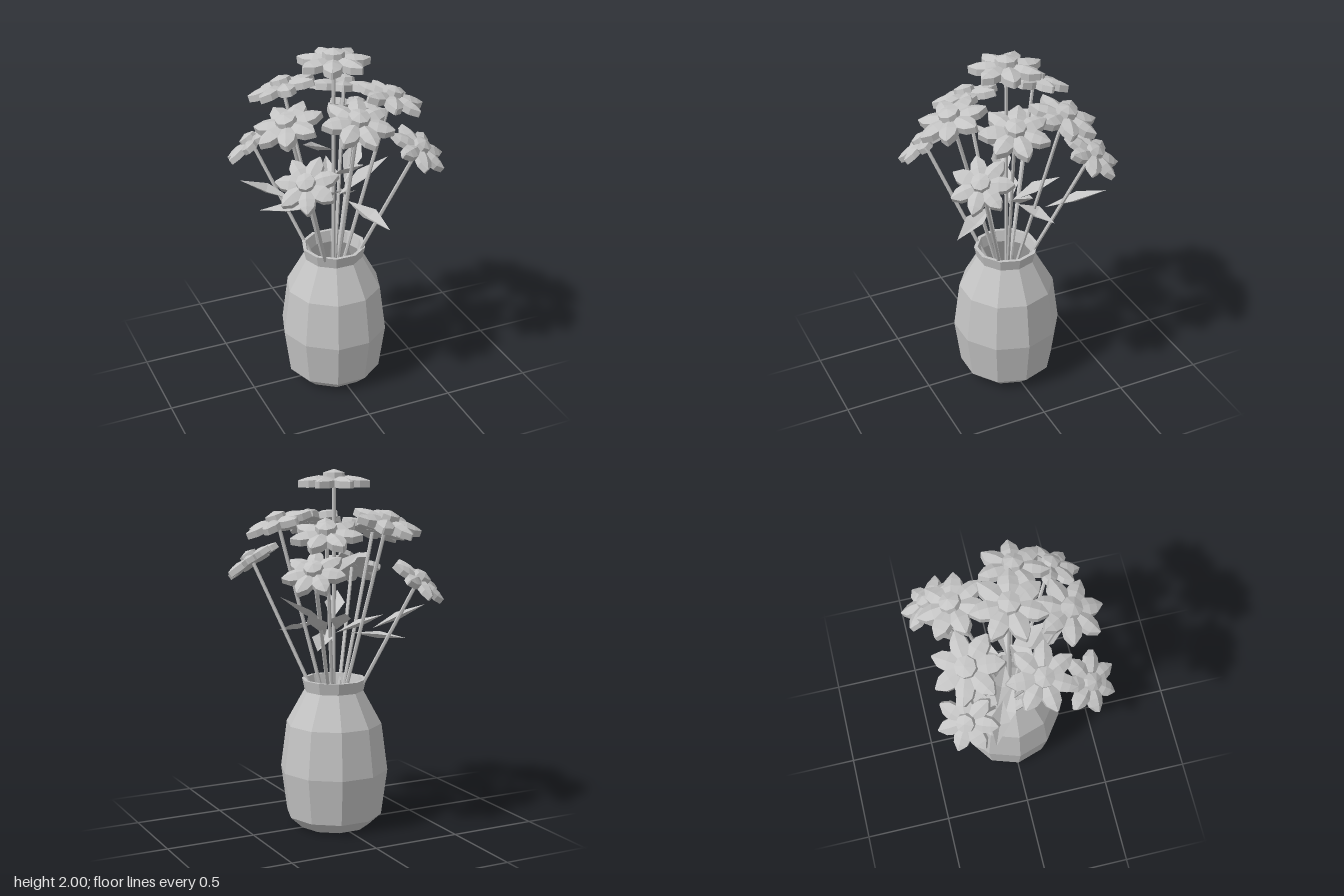
import * as THREE from 'three';

const grey = new THREE.MeshStandardMaterial({ color: 0xc4c4c4, flatShading: true, side: THREE.DoubleSide });
grey.name = 'light grey';
const UP = new THREE.Vector3(0, 1, 0);
const V = (x, y, z) => new THREE.Vector3(x, y, z);

function part(name, geometry, parent) {
  const mesh = new THREE.Mesh(geometry, grey);
  mesh.name = name;
  parent.add(mesh);
  return mesh;
}

// Ridged petal pointing along +x, skinned through five-point cross-sections
function petalGeometry() {
  // radius, half width, bottom, side top, ridge top
  const rows = [
    [0.03, 0.022, 0.008, 0.042, 0.052],
    [0.105, 0.051, 0, 0.038, 0.058],
    [0.152, 0.043, -0.004, 0.034, 0.05],
    [0.198, 0.005, -0.004, 0.032, 0.035],
  ];
  const pos = [], index = [];
  for (const [r, w, b, s, t] of rows)
    pos.push(r, b, w, r, b, -w, r, s, -w, r, t, 0, r, s, w);
  for (let i = 0; i < rows.length - 1; i++)
    for (let j = 0; j < 5; j++) {
      const a = i * 5 + j, b = i * 5 + (j + 1) % 5;
      index.push(a, b, a + 5, b, b + 5, a + 5);
    }
  for (let j = 1; j < 4; j++) {
    index.push(0, j + 1, j);
    index.push(15, 15 + j, 16 + j);
  }
  const g = new THREE.BufferGeometry();
  g.setAttribute('position', new THREE.Float32BufferAttribute(pos, 3));
  g.setIndex(index);
  g.computeVertexNormals();
  return g;
}

// Folded diamond leaf from root to tip
function leafGeometry(root, tip) {
  const dir = tip.clone().sub(root);
  const side = V(-dir.z, 0, dir.x).normalize().multiplyScalar(0.058);
  const lift = side.clone().cross(dir).normalize().multiplyScalar(0.016);
  if (lift.y < 0) lift.negate();
  const mid = root.clone().addScaledVector(dir, 0.5);
  const left = mid.clone().add(side).add(lift);
  const right = mid.clone().sub(side).add(lift);
  mid.sub(lift);
  const pts = [root, left, mid, left, tip, mid, tip, right, mid, right, root, mid];
  const g = new THREE.BufferGeometry().setFromPoints(pts);
  g.computeVertexNormals();
  return g;
}

function stem(a, b, parent) {
  const d = b.clone().sub(a);
  const mesh = part('stem', new THREE.CylinderGeometry(0.0105, 0.0105, d.length(), 6), parent);
  mesh.position.copy(a).addScaledVector(d, 0.5);
  mesh.quaternion.setFromUnitVectors(UP, d.normalize());
}

export function createModel() {
  const model = new THREE.Group();
  model.name = 'vaseOfFlowers';

  // Ten-sided hollow vase, with the inner wall running back down from the lip
  const profile = [
    [0, 0], [0.2, 0], [0.27, 0.065], [0.305, 0.325], [0.27, 0.59], [0.167, 0.775],
    [0.182, 0.84], [0.162, 0.84], [0.147, 0.775], [0.25, 0.58], [0.285, 0.325],
    [0.25, 0.08], [0, 0.03],
  ].map(([r, y]) => new THREE.Vector2(r, y));
  part('vase', new THREE.LatheGeometry(profile, 10, Math.PI / 2), model);

  // Flowers: centre x, y, z, scale, spin in degrees
  const flowers = [
    [0, 2, 0, 1, 90],
    [-0.203, 1.785, -0.275, 0.98, 108],
    [0.188, 1.735, -0.275, 0.98, 90],
    [-0.325, 1.72, 0.108, 0.95, 90],
    [0.317, 1.775, 0.097, 0.95, 98],
    [0, 1.765, 0.337, 0.97, -84],
    [-0.39, 1.45, -0.33, 0.86, 93],
    [0.322, 1.535, -0.39, 0.86, 82],
    [-0.328, 1.475, 0.385, 0.85, -64],
    [0.385, 1.54, 0.33, 0.85, 110],
  ];
  const petal = petalGeometry();
  for (const [x, y, z, s, spin] of flowers) {
    const normal = V(x, y - 0.82, z).normalize();
    const flower = new THREE.Group();
    flower.name = 'flower';
    flower.scale.setScalar(s);
    flower.position.set(x, y, z).addScaledVector(normal, -0.095 * s);
    flower.quaternion.setFromUnitVectors(UP, normal);
    model.add(flower);
    for (let i = 0; i < 7; i++)
      part('petal', petal, flower).rotation.y = THREE.MathUtils.degToRad(spin) + i * Math.PI * 2 / 7;
    const disc = [[0, 0], [0.045, 0.006], [0.062, 0.04], [0.058, 0.076], [0, 0.095]]
      .map(([r, h]) => new THREE.Vector2(r, h));
    part('flowerCentre', new THREE.LatheGeometry(disc, 8, Math.PI / 8), flower);
    stem(V(0, 0.5, 0), flower.position.clone().addScaledVector(normal, 0.01), model);
  }

  // Leaves: root, then tip
  const leaves = [
    [0, 1.42, 0, -0.22, 1.53, 0.1],
    [0, 1.27, 0, 0.08, 1.41, 0.22],
    [0, 1.12, -0.03, 0.08, 1.25, -0.29],
    [0.03, 1.14, 0, 0.33, 1.32, 0],
    [0, 1.17, 0.02, -0.15, 1.3, 0.25],
    [0, 1.1, -0.02, -0.25, 1.2, -0.12],
    [0.14, 1.12, -0.17, 0.36, 1.28, -0.42],
    [-0.2, 1.12, -0.08, -0.48, 1.25, -0.18],
    [0.04, 1.15, 0.1, 0.17, 1.07, 0.37],
    [0.06, 1.13, -0.04, 0.2, 1.04, -0.2],
    [-0.11, 1.09, 0, -0.38, 1.06, -0.15],
  ];
  for (const [a, b, c, d, e, f] of leaves) part('leaf', leafGeometry(V(a, b, c), V(d, e, f)), model);

  return model;
}
